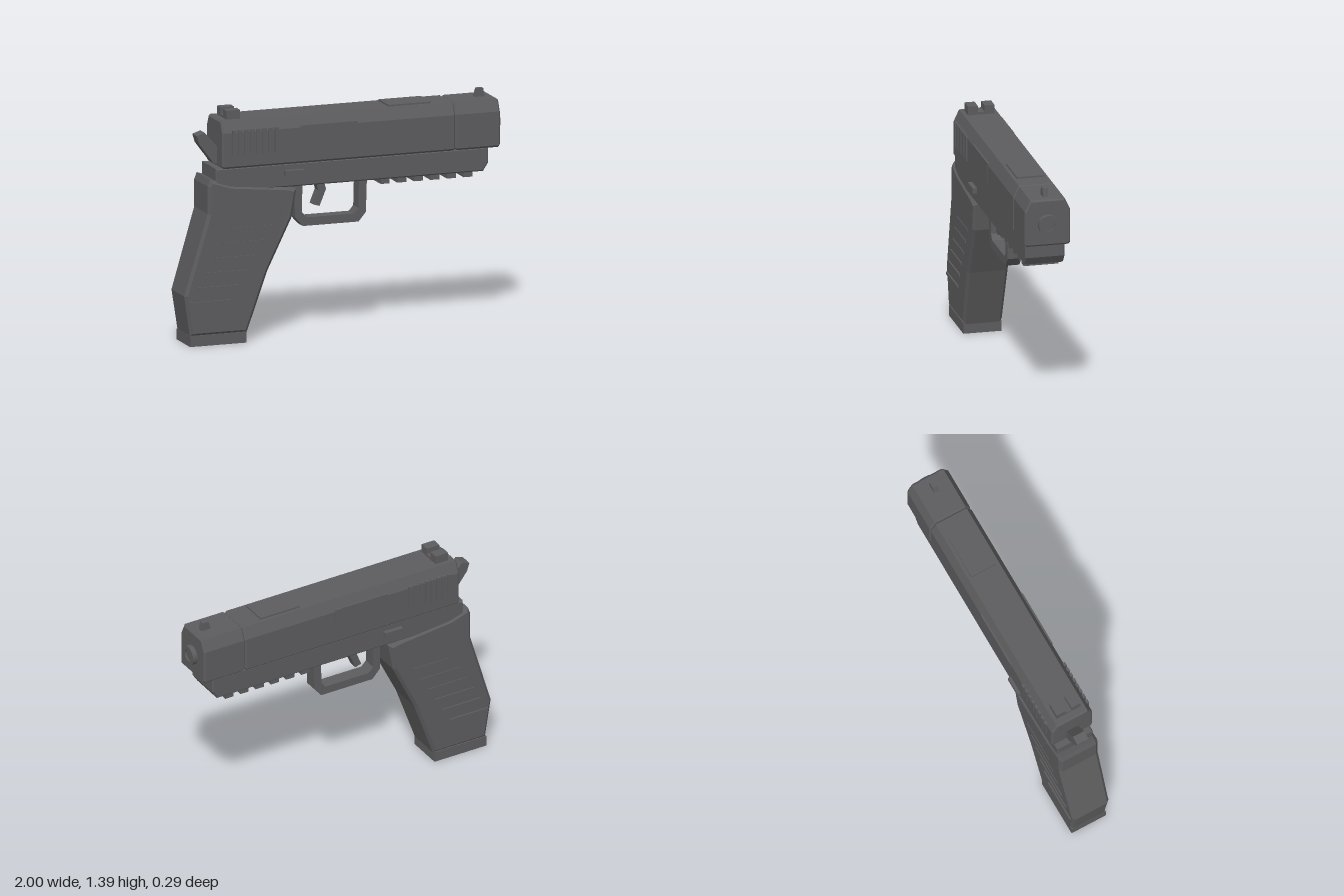
import * as THREE from 'three';

export function createModel() {
  const model = new THREE.Group();
  model.name = 'toyPistol';
  const gunmetal = new THREE.MeshStandardMaterial({ color: 0x5c5c5e });
  gunmetal.name = 'gunmetal grey';

  function add(name, geometry) {
    const mesh = new THREE.Mesh(geometry, gunmetal);
    mesh.name = name;
    model.add(mesh);
    return mesh;
  }

  // Box given by its min and max along each axis
  function box(name, x0, x1, y0, y1, z0, z1) {
    const g = new THREE.BoxGeometry(x1 - x0, y1 - y0, z1 - z0);
    g.translate((x0 + x1) / 2, (y0 + y1) / 2, (z0 + z1) / 2);
    return add(name, g);
  }

  const toShape = pts => new THREE.Shape(pts.map(p => new THREE.Vector2(p[0], p[1])));

  // Extrusion centred on z = 0 whose bevel stays inside the outline
  function slab(shape, half, bevel = 0) {
    const g = new THREE.ExtrudeGeometry(shape, {
      depth: 2 * (half - bevel), bevelEnabled: bevel > 0, bevelSegments: 1,
      bevelSize: bevel, bevelThickness: bevel, bevelOffset: -bevel, curveSegments: 24,
    });
    g.translate(0, 0, bevel - half);
    return g;
  }

  // Slide and nose: chamfered cross-section run along x
  const section = toShape([[-0.125, 1.055], [0.125, 1.055], [0.137, 1.067], [0.137, 1.27],
    [0.104, 1.34], [-0.104, 1.34], [-0.137, 1.27], [-0.137, 1.067]]);
  function alongX(name, x0, x1) {
    const g = slab(section, (x1 - x0) / 2, 0.01);
    g.rotateY(Math.PI / 2);
    g.translate((x0 + x1) / 2, 0, 0);
    add(name, g);
  }
  alongX('slide', -0.77, 0.69);
  alongX('slideNose', 0.69, 0.97);

  // Barrel end with a shallow bore
  const barrel = new THREE.LatheGeometry([[0, 0.02], [0.036, 0.02], [0.036, 0.03],
    [0.06, 0.03], [0.06, 0]].map(p => new THREE.Vector2(p[0], p[1])).reverse(), 24).toNonIndexed();
  barrel.computeVertexNormals();
  barrel.rotateZ(-Math.PI / 2);
  barrel.translate(0.97, 1.19, 0);
  add('barrelEnd', barrel);

  // Sights and top plate
  box('topPlate', 0.29, 0.555, 1.335, 1.35, -0.083, 0.083);
  box('rearSightBase', -0.725, -0.64, 1.335, 1.355, -0.08, 0.08);
  for (const s of [-1, 1]) {
    box('rearSightPost', -0.725, -0.64, 1.355, 1.393, s > 0 ? 0.02 : -0.08, s > 0 ? 0.08 : -0.02);
  }
  add('frontSight', slab(toShape([[0.853, 1.335], [0.918, 1.335], [0.908, 1.39], [0.87, 1.39]]), 0.016));

  // Hammer
  add('hammer', slab(toShape([[-0.895, 1.245], [-0.845, 1.262], [-0.765, 1.17],
    [-0.765, 1.075], [-0.79, 1.075], [-0.88, 1.195]]), 0.038));

  // Frame with a chamfered front lower corner
  add('frame', slab(toShape([[-0.805, 0.915], [0.87, 0.915], [0.903, 0.965],
    [0.903, 1.057], [-0.805, 1.057]]), 0.12, 0.008));

  // Rail teeth under the frame
  for (let i = 0; i < 6; i++) {
    const x = 0.233 + i * 0.1037;
    box('railTooth', x, x + 0.056, 0.884, 0.925, -0.104, 0.104);
  }

  // Trigger guard and trigger
  add('triggerGuard', slab(toShape([[-0.285, 0.93], [-0.282, 0.71], [-0.232, 0.655],
    [0.117, 0.655], [0.163, 0.71], [0.17, 0.93], [0.12, 0.93], [0.115, 0.737],
    [0.088, 0.705], [-0.205, 0.705], [-0.237, 0.737], [-0.235, 0.93]]), 0.042));
  add('trigger', slab(toShape([[-0.15, 0.925], [-0.13, 0.86], [-0.163, 0.777],
    [-0.123, 0.765], [-0.082, 0.865], [-0.1, 0.925]]), 0.03));

  // Grip: bevelled profile that narrows towards the bottom
  const grip = slab(toShape([[-0.963, 0.06], [-0.607, 0.06], [-0.48, 0.42], [-0.328, 0.733],
    [-0.3, 0.9], [-0.365, 0.917], [-0.71, 0.953], [-0.84, 0.995], [-0.855, 0.955],
    [-0.855, 0.79], [-1, 0.305]]), 0.13, 0.018);
  const pos = grip.attributes.position;
  for (let i = 0; i < pos.count; i++) {
    const t = THREE.MathUtils.clamp((pos.getY(i) - 0.06) / 0.73, 0, 1);
    pos.setZ(i, pos.getZ(i) * (0.91 + 0.09 * t));
  }
  grip.computeVertexNormals();
  add('grip', grip);
  box('magazineBase', -0.965, -0.612, 0, 0.065, -0.115, 0.115);

  // Details repeated on both sides
  for (const s of [-1, 1]) {
    const side = (name, x0, x1, y0, y1, z) =>
      box(name, x0, x1, y0, y1, s > 0 ? 0.1 : -z, s > 0 ? z : -0.1);
    for (let i = 0; i < 8; i++) {
      const x = -0.71 + i * 0.038;
      side('slideSerration', x, x + 0.024, 1.133, 1.285, 0.146);
    }
    side('sidePanel', -0.28, 0.075, 1.165, 1.283, 0.141);
    side('slideCatch', -0.38, -0.26, 0.985, 1.018, 0.147);
    for (let i = 0; i < 6; i++) {
      const x = -0.97 + i * 0.05, y = 0.253 + i * 0.086;
      side('gripRib', x, x + 0.262, y, y + 0.016, 0.131);
    }
  }
  return model;
}
